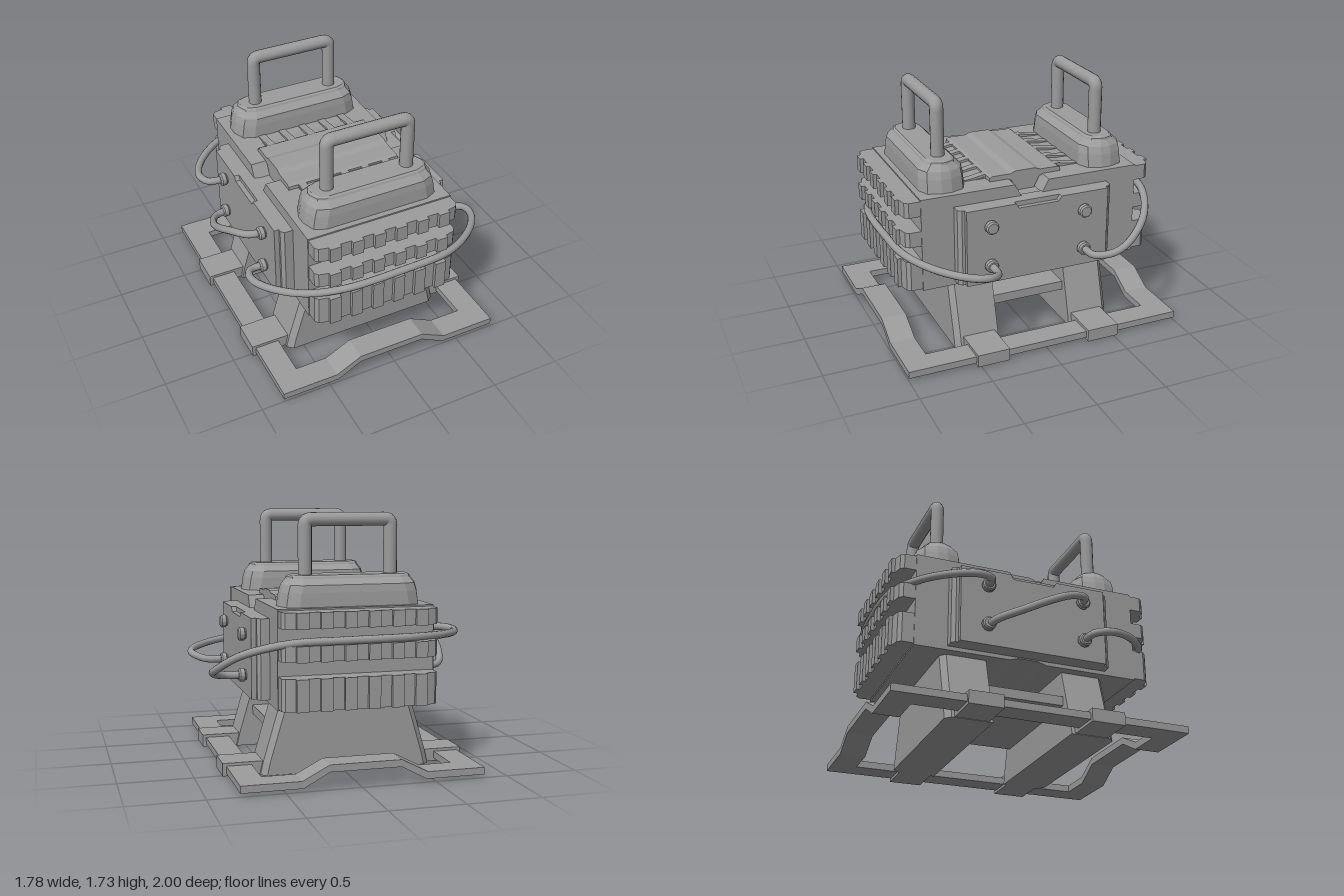
import * as THREE from 'three';

const flat = new THREE.MeshStandardMaterial({ color: 0x9c9c9c, flatShading: true, side: THREE.DoubleSide });
const smooth = new THREE.MeshStandardMaterial({ color: 0x9c9c9c });

const shapeOf = (pts) => new THREE.Shape(pts.map(([a, b]) => new THREE.Vector2(a, b)));
const mirrorX = (pts) => [...pts, ...pts.map(([a, b]) => [-a, b]).reverse()];

// Profile in (z, y), extruded along x and centred on cx
function alongX(pts, width, cx = 0) {
  const g = new THREE.ExtrudeGeometry(shapeOf(pts), { depth: width, bevelEnabled: false });
  return g.translate(0, 0, -width / 2).rotateY(-Math.PI / 2).translate(cx, 0, 0);
}

// Plan in (x, z), extruded from y0 up to y1
function alongY(pts, y0, y1) {
  const g = new THREE.ExtrudeGeometry(shapeOf(pts), { depth: y1 - y0, bevelEnabled: false });
  return g.rotateX(Math.PI / 2).translate(0, y1, 0);
}

function box(x0, x1, y0, y1, z0, z1) {
  return new THREE.BoxGeometry(x1 - x0, y1 - y0, z1 - z0)
    .translate((x0 + x1) / 2, (y0 + y1) / 2, (z0 + z1) / 2);
}

// Stack of equal-length (x, z) rings, each { y, pts }, capped at both ends
function loft(rings) {
  const pos = [];
  const n = rings[0].pts.length;
  const at = (r, i) => [r.pts[i % n][0], r.y, r.pts[i % n][1]];
  for (let k = 0; k < rings.length - 1; k++) {
    for (let i = 0; i < n; i++) {
      const a = at(rings[k], i), b = at(rings[k], i + 1);
      const c = at(rings[k + 1], i + 1), d = at(rings[k + 1], i);
      pos.push(...a, ...c, ...b, ...a, ...d, ...c);
    }
  }
  const low = rings[0], top = rings[rings.length - 1];
  for (let i = 1; i < n - 1; i++) {
    pos.push(...at(low, 0), ...at(low, i), ...at(low, i + 1));
    pos.push(...at(top, 0), ...at(top, i + 1), ...at(top, i));
  }
  const g = new THREE.BufferGeometry();
  g.setAttribute('position', new THREE.Float32BufferAttribute(pos, 3));
  g.computeVertexNormals();
  return g;
}

// Rectangle with faceted round corners, ordered from +x towards +z
function roundedRing(hx, hz, cx, cz) {
  const pts = [];
  [[1, 1], [-1, 1], [-1, -1], [1, -1]].forEach(([sx, sz], q) => {
    for (let i = 0; i <= 2; i++) {
      const a = (q + i / 2) * Math.PI / 2;
      pts.push([sx * (hx - cx) + cx * Math.cos(a), sz * (hz - cz) + cz * Math.sin(a)]);
    }
  });
  return pts;
}

export function createModel() {
  const model = new THREE.Group();
  model.name = 'carryUnit';
  const core = new THREE.Group();
  core.name = 'unit';
  core.position.x = -0.025;
  model.add(core);
  const add = (name, geometry, parent = core, material = flat) => {
    const m = new THREE.Mesh(geometry, material);
    m.name = name;
    parent.add(m);
    return m;
  };

  // Main body with a V groove across the top and a shallow one below
  const halfProfile = [[0.07, 0.497], [0.13, 0.478], [0.785, 0.478], [0.785, 1.13], [0.125, 1.13], [0.075, 1.04]];
  add('body', alongX(mirrorX(halfProfile), 1.05));

  // Central top cover
  add('topCover', alongX(mirrorX([[0.06, 1.03], [0.105, 1.12], [0.26, 1.12], [0.26, 1.155],
    [0.24, 1.165], [0.11, 1.165], [0.07, 1.18]]), 0.83));

  // Front and back halves
  for (const s of [1, -1]) {
    const end = new THREE.Group();
    end.name = s > 0 ? 'frontEnd' : 'backEnd';
    if (s < 0) end.rotation.y = Math.PI;
    core.add(end);

    // Corrugated bumper bands
    const outline = [[0.52, 0.77], [0.52, 0.865], [0.5, 0.89], [0.435, 0.905]];
    const step = 0.87 / 11;
    for (let i = 0; i < 11; i++) {
      const z = i % 2 === 0 ? 0.93 : 0.905;
      outline.push([0.435 - i * step, z], [0.435 - (i + 1) * step, z]);
    }
    outline.push([-0.435, 0.905], [-0.5, 0.89], [-0.52, 0.865], [-0.52, 0.77]);
    for (const [y0, y1] of [[0.49, 0.7], [0.805, 0.91], [1.015, 1.12]]) {
      add('bumperBand', alongY(outline, y0, y1), end);
    }

    // Sloping ridges beside the top cover
    for (let i = -2; i <= 2; i++) {
      add('topRidge', alongX([[0.25, 1.12], [0.44, 1.12], [0.44, 1.134], [0.36, 1.142], [0.28, 1.157],
        [0.25, 1.157]], 0.055, i * 0.157), end);
    }
    add('ridgeBed', alongX([[0.25, 1.12], [0.42, 1.12], [0.25, 1.143]], 0.69), end);

    // Handle housing
    const housing = add('handleHousing', loft([
      { y: 1.12, pts: roundedRing(0.48, 0.16, 0.11, 0.125) },
      { y: 1.22, pts: roundedRing(0.465, 0.155, 0.11, 0.12) },
      { y: 1.27, pts: roundedRing(0.45, 0.148, 0.11, 0.115) },
      { y: 1.308, pts: roundedRing(0.422, 0.105, 0.09, 0.085) },
      { y: 1.32, pts: roundedRing(0.42, 0.1, 0.09, 0.085) },
      { y: 1.33, pts: roundedRing(0.405, 0.088, 0.085, 0.08) },
    ]), end);
    housing.position.z = 0.585;

    // Handle bar with tight corners
    const V = (x, y) => new THREE.Vector3(x, y, 0.58);
    const path = new THREE.CurvePath();
    path.add(new THREE.LineCurve3(V(-0.292, 1.3), V(-0.292, 1.645)));
    path.add(new THREE.QuadraticBezierCurve3(V(-0.292, 1.645), V(-0.292, 1.685), V(-0.25, 1.685)));
    path.add(new THREE.LineCurve3(V(-0.25, 1.685), V(0.25, 1.685)));
    path.add(new THREE.QuadraticBezierCurve3(V(0.25, 1.685), V(0.292, 1.685), V(0.292, 1.645)));
    path.add(new THREE.LineCurve3(V(0.292, 1.645), V(0.292, 1.3)));
    add('handle', new THREE.TubeGeometry(path, 90, 0.046, 14), end, smooth);

    // Tapered leg block with bevelled outer corners
    const leg = (h) => [[h, 0.27], [h, 0.545], [h - 0.04, 0.58], [-h + 0.04, 0.58], [-h, 0.545], [-h, 0.27]];
    add('leg', loft([{ y: 0, pts: leg(0.59) }, { y: 0.09, pts: leg(0.57) }, { y: 0.49, pts: leg(0.452) }]), end);

    // End rail of the base, arched in the middle
    const rail = new THREE.ExtrudeGeometry(shapeOf([[-0.815, 0.022], [-0.41, 0.022], [-0.24, 0.115],
      [0.24, 0.115], [0.41, 0.022], [0.815, 0.022], [0.815, 0.07], [0.42, 0.07], [0.24, 0.163],
      [-0.24, 0.163], [-0.42, 0.07], [-0.815, 0.07]]), { depth: 0.175, bevelEnabled: false });
    add('endRail', rail.translate(0, 0, 0.825), end);
  }

  // Bar joining the legs
  add('legBridge', box(-0.47, 0.47, 0.235, 0.3, -0.28, 0.28));

  // Left and right sides
  for (const s of [1, -1]) {
    const side = new THREE.Group();
    side.name = s > 0 ? 'leftSide' : 'rightSide';
    if (s < 0) side.rotation.y = Math.PI;
    core.add(side);
    add('sideRail', box(0.645, 0.815, 0.022, 0.07, -0.83, 0.83), side);
    add('sidePanelBase', alongY([[0.5, -0.56], [0.585, -0.56], [0.605, -0.535], [0.605, 0.535],
      [0.585, 0.56], [0.5, 0.56]], 0.505, 1.045), side);
    add('sidePanel', alongX(mirrorX([[0.515, 0.505], [0.515, 1.045], [0.165, 1.045], [0.145, 1.012]]),
      0.037, 0.6205), side);
    for (const z of [-1, 1]) {
      add('railClamp', box(0.54, 0.84, 0.003, 0.09, z * 0.41 - 0.115, z * 0.41 + 0.115), side);
      // Stepped cable sockets
      for (const y of [0.64, 0.92]) {
        const profile = [[0.036, 0.6], [0.036, 0.645], [0.046, 0.652], [0.046, 0.68], [0.036, 0.69], [0, 0.69]];
        const socket = new THREE.LatheGeometry(profile.map(([r, h]) => new THREE.Vector2(r, h)), 12);
        add('socket', socket.rotateZ(-Math.PI / 2).translate(0, y, z * 0.34 + s * 0.01), side);
      }
    }
  }

  // Cables
  const cable = (name, pts) => {
    const curve = new THREE.CatmullRomCurve3(pts.map((p) => new THREE.Vector3(...p)));
    add(name, new THREE.TubeGeometry(curve, 72, 0.026, 10), model, smooth);
  };
  cable('frontCable', [[0.63, 0.64, 0.35], [0.77, 0.645, 0.36], [0.857, 0.675, 0.44], [0.845, 0.69, 0.56],
    [0.7, 0.71, 0.74], [0.45, 0.73, 0.88], [0.08, 0.74, 0.918], [-0.35, 0.73, 0.9], [-0.6, 0.71, 0.8],
    [-0.77, 0.685, 0.62], [-0.825, 0.665, 0.47], [-0.79, 0.65, 0.37], [-0.68, 0.64, 0.35]]);
  cable('backCable', [[0.63, 0.64, -0.33], [0.77, 0.645, -0.34], [0.857, 0.68, -0.44], [0.845, 0.73, -0.56],
    [0.72, 0.84, -0.74], [0.45, 0.92, -0.875], [0.08, 0.935, -0.912], [-0.35, 0.935, -0.88], [-0.6, 0.925, -0.76],
    [-0.77, 0.915, -0.59], [-0.825, 0.915, -0.45], [-0.79, 0.92, -0.35], [-0.68, 0.92, -0.33]]);
  cable('sideCable', [[-0.68, 0.92, 0.35], [-0.77, 0.915, 0.32], [-0.84, 0.87, 0.18], [-0.866, 0.78, 0],
    [-0.845, 0.7, -0.16], [-0.78, 0.65, -0.29], [-0.68, 0.64, -0.33]]);

  return model;
}
